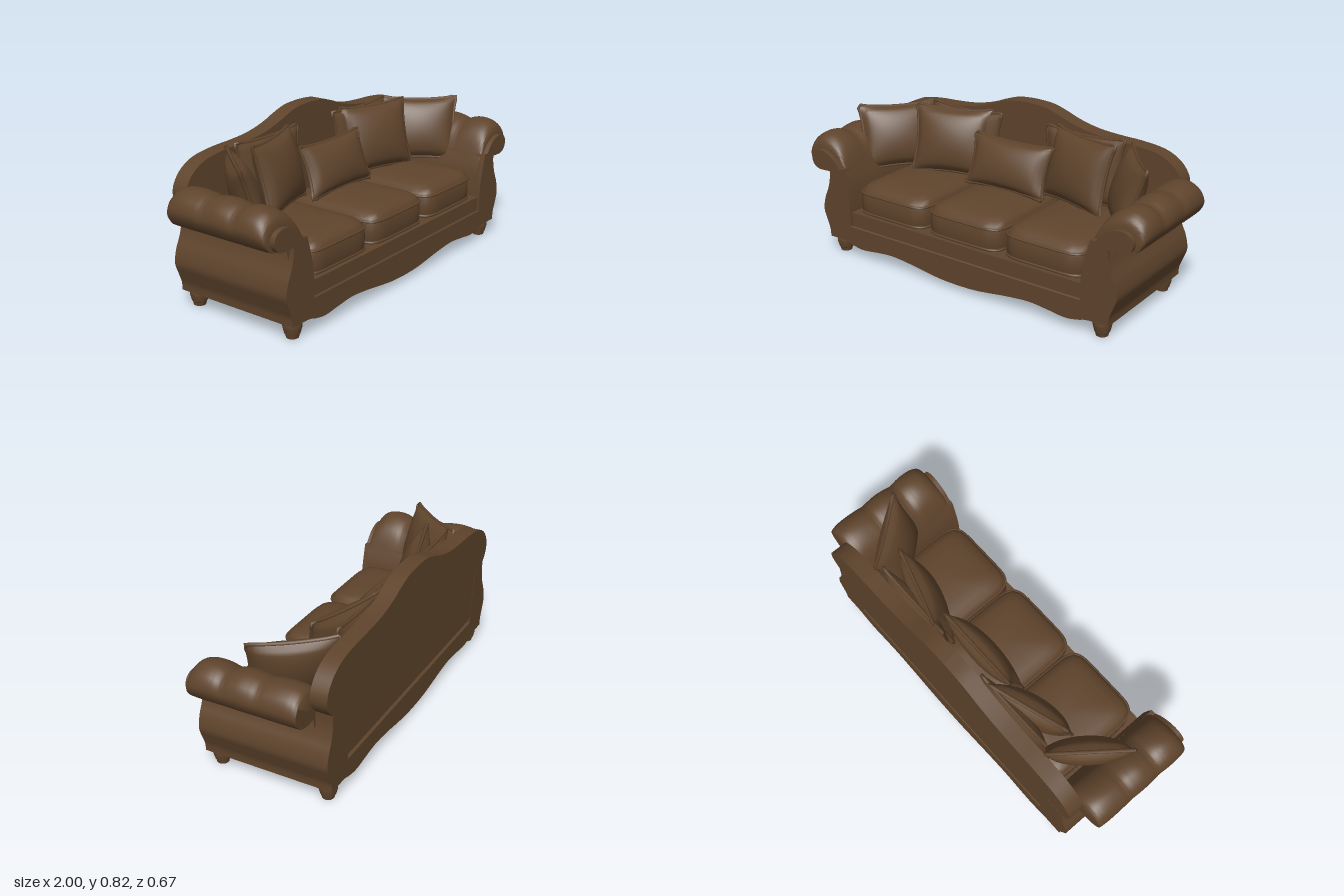
import * as THREE from 'three';
import { toCreasedNormals } from 'three/addons/utils/BufferGeometryUtils.js';

const fabric = new THREE.MeshStandardMaterial({ color: 0x5f442c });
fabric.name = 'brown upholstery';

function part(name, geometry, parent) {
  const mesh = new THREE.Mesh(geometry, fabric);
  mesh.name = name;
  parent.add(mesh);
  return mesh;
}

// Smooth 2D points through a few control points
function spline(points, n = 40) {
  return new THREE.SplineCurve(points.map(([x, y]) => new THREE.Vector2(x, y))).getPoints(n);
}

const mirrored = (pts) => pts.map((p) => new THREE.Vector2(-p.x, p.y));

// Outline in the xy plane pushed from z0 to z1
function slab(points, z0, z1) {
  const g = new THREE.ExtrudeGeometry(new THREE.Shape(points), { depth: z1 - z0, bevelEnabled: false });
  return toCreasedNormals(g.translate(0, 0, z0), 0.6);
}

// Skin over closed rings of equal length, capped at both ends
function loft(rings, crease = 0.8) {
  const n = rings[0].length;
  const pos = [], index = [];
  rings.forEach((r) => r.forEach((p) => pos.push(p.x, p.y, p.z)));
  for (let i = 0; i < rings.length - 1; i++) {
    for (let j = 0; j < n; j++) {
      const a = i * n + j, b = i * n + (j + 1) % n;
      index.push(a, a + n, b, b, a + n, b + n);
    }
  }
  [0, rings.length - 1].forEach((i) => {
    const c = new THREE.Vector3();
    rings[i].forEach((p) => c.addScaledVector(p, 1 / n));
    const k = pos.length / 3;
    pos.push(c.x, c.y, c.z);
    for (let j = 0; j < n; j++) {
      const a = i * n + j, b = i * n + (j + 1) % n;
      if (i === 0) index.push(k, a, b);
      else index.push(k, b, a);
    }
  });
  const g = new THREE.BufferGeometry();
  g.setAttribute('position', new THREE.Float32BufferAttribute(pos, 3));
  g.setIndex(index);
  return toCreasedNormals(g, crease);
}

function piping(points, radius) {
  const curve = new THREE.CatmullRomCurve3(points, true);
  return new THREE.TubeGeometry(curve, points.length * 2, radius, 6, true);
}

// Rounded rectangle ring lying flat at height y
function flatRing(hx, hz, y, n = 48) {
  return Array.from({ length: n }, (_, i) => {
    const a = i / n * Math.PI * 2, c = Math.cos(a), s = Math.sin(a);
    const k = (Math.abs(c) ** 7 + Math.abs(s) ** 7) ** (-1 / 7);
    return new THREE.Vector3(hx * c * k, y, hz * s * k);
  });
}

// Domed box cushion with two lines of piping
function seatCushion(x) {
  const group = new THREE.Group();
  group.name = 'seatCushion';
  const hx = 0.225, hz = 0.28;
  const profile = [[0.9, 0.235], [0.97, 0.24], [0.99, 0.26], [1, 0.30], [0.99, 0.345],
    [0.965, 0.37], [0.9, 0.388], [0.75, 0.402], [0.5, 0.412], [0.2, 0.417]];
  part('cushionBody', loft(profile.map(([s, y]) => flatRing(hx * s, hz * s, y)), 1), group);
  [0.253, 0.357].forEach((y) => part('cushionPiping', piping(flatRing(hx * 0.985, hz * 0.985, y), 0.007), group));
  group.position.set(x, 0, 0.028);
  return group;
}

// Throw pillow: pinched corners, puffed middle, corded edge
function pillow(name, w, h, t) {
  const group = new THREE.Group();
  group.name = name;
  const outline = (u, v) => [u * w / 2 * (1 - 0.09 * (1 - v * v)), v * h / 2 * (1 - 0.09 * (1 - u * u))];
  const g = new THREE.BoxGeometry(2, 2, 2, 18, 18, 1);
  const p = g.attributes.position;
  for (let i = 0; i < p.count; i++) {
    const u = p.getX(i), v = p.getY(i);
    const [x, y] = outline(u, v);
    const puff = Math.max(0, (1 - u * u) * (1 - v * v)) ** 0.5;
    p.setXYZ(i, x, y, Math.sign(p.getZ(i)) * (0.004 + puff * t / 2));
  }
  g.computeVertexNormals();
  part('pillowBody', g, group);
  const edge = [];
  [[-1, -1, 1, 0], [1, -1, 0, 1], [1, 1, -1, 0], [-1, 1, 0, -1]].forEach(([u, v, du, dv]) => {
    for (let i = 0; i < 8; i++) edge.push(new THREE.Vector3(...outline(u + du * i / 4, v + dv * i / 4), 0));
  });
  part('pillowCord', piping(edge, 0.009), group);
  return group;
}

// Bumpy rolled arm; side is +1 or -1
function armRoll(side) {
  const section = spline([[0.83, 0.445], [0.9, 0.438], [0.96, 0.455], [0.993, 0.5], [1, 0.54], [0.98, 0.587],
    [0.94, 0.616], [0.9, 0.625], [0.85, 0.614], [0.8, 0.58], [0.765, 0.53], [0.735, 0.45], [0.71, 0.36], [0.698, 0.22]], 48);
  section.push(new THREE.Vector2(0.8, 0.22));
  const heights = spline([[0.31, 0.60], [0.303, 0.76], [0.285, 0.88], [0.255, 0.965], [0.21, 0.995], [0.17, 0.97],
    [0.13, 0.90], [0.09, 0.96], [0.04, 1], [-0.01, 0.975], [-0.05, 0.93], [-0.09, 0.97], [-0.15, 1],
    [-0.2, 0.985], [-0.235, 0.93], [-0.25, 0.86]], 60);
  const rings = heights.map(({ x: z, y: s }) => section.map((q) => {
    const y = q.y > 0.44 ? 0.44 + (q.y - 0.44) * s : q.y;
    const x = q.x > 0.87 ? 0.87 + (q.x - 0.87) * (0.6 + 0.4 * s) : q.x;
    return new THREE.Vector3(side * x, y, z);
  }));
  return loft(side > 0 ? rings : rings.reverse(), 0.9);
}

export function createModel() {
  const sofa = new THREE.Group();
  sofa.name = 'sofa';

  // Base: scalloped apron and swelling sides, with a notch for the seat
  const apron = spline([[0, 0.035], [0.1, 0.038], [0.2, 0.05], [0.3, 0.064], [0.42, 0.074], [0.52, 0.066], [0.62, 0.055],
    [0.69, 0.065], [0.74, 0.078], [0.847, 0.078]]);
  const flank = spline([[0.847, 0.079], [0.85, 0.12], [0.868, 0.17], [0.885, 0.225], [0.873, 0.29], [0.847, 0.35], [0.832, 0.41], [0.83, 0.47]]);
  const inner = spline([[0.742, 0.47], [0.725, 0.41], [0.707, 0.33], [0.698, 0.25], [0.698, 0.165]], 16);
  const half = [...apron, ...flank, ...inner];
  part('base', slab([...half, ...mirrored(half.slice(1)).reverse()], -0.335, 0.335), sofa);

  // Front rail under the seat cushions
  const rail = new THREE.BoxGeometry(1.4, 0.085, 0.64);
  part('seatRail', rail.translate(0, 0.2, 0.002), sofa);
  const bead = new THREE.CylinderGeometry(0.008, 0.008, 1.47, 8).rotateZ(Math.PI / 2);
  part('railBead', bead.translate(0, 0.163, 0.328), sofa);

  // Camel back with rounded ears
  const crest = spline([[0, 0.82], [0.1, 0.813], [0.18, 0.79], [0.27, 0.757], [0.38, 0.732], [0.5, 0.722], [0.62, 0.717],
    [0.74, 0.7], [0.82, 0.66], [0.865, 0.605], [0.876, 0.555], [0.86, 0.51], [0.828, 0.47]], 60);
  crest.push(new THREE.Vector2(0.82, 0.2));
  part('backrest', slab([...crest, ...mirrored(crest.slice(1)).reverse()], -0.334, -0.25), sofa);

  // Arms, scroll fronts and feet
  const scroll = spline([[0.765, 0.45], [0.83, 0.445], [0.9, 0.443], [0.938, 0.46], [0.952, 0.495], [0.938, 0.53], [0.9, 0.547],
    [0.85, 0.54], [0.8, 0.51], [0.765, 0.47], [0.742, 0.45]], 40);
  const footProfile = [[0, 0], [0.029, 0], [0.033, 0.018], [0.036, 0.02], [0.044, 0.05], [0.045, 0.065], [0.04, 0.085], [0, 0.085]];
  for (const side of [1, -1]) {
    const label = side > 0 ? 'left' : 'right';
    part(label + 'ArmRoll', armRoll(side), sofa);
    part(label + 'ArmScroll', slab(side > 0 ? scroll : mirrored(scroll), 0.26, 0.335), sofa);
    for (const z of [0.283, -0.283]) {
      const foot = new THREE.LatheGeometry(footProfile.map(([x, y]) => new THREE.Vector2(x, y)), 20);
      part(label + (z > 0 ? 'FrontFoot' : 'BackFoot'), toCreasedNormals(foot, 0.6), sofa).position.set(side * 0.79, 0, z);
    }
  }

  // Seat cushions
  for (const x of [-0.46, 0, 0.46]) sofa.add(seatCushion(x));

  // Pillows: [name, width, height, thickness, x, y, z, tilt, yaw]
  const pillows = [
    ['backPillow', 0.44, 0.34, 0.1, 0.36, 0.57, -0.205, -0.1, 0],
    ['largePillow', 0.42, 0.35, 0.14, 0.385, 0.577, -0.125, -0.25, -0.3],
    ['cornerPillow', 0.41, 0.34, 0.13, 0.695, 0.565, -0.06, -0.3, -0.9],
  ];
  for (const [name, w, h, t, x, y, z, tilt, yaw] of pillows) {
    for (const side of [1, -1]) {
      const p = pillow(name, w, h, t);
      p.position.set(side * x, y, z);
      p.rotation.set(tilt, side * yaw, 0, 'YXZ');
      sofa.add(p);
    }
  }
  const middle = pillow('middlePillow', 0.47, 0.26, 0.12);
  middle.position.set(0, 0.53, -0.09);
  middle.rotation.x = -0.35;
  sofa.add(middle);
  return sofa;
}
